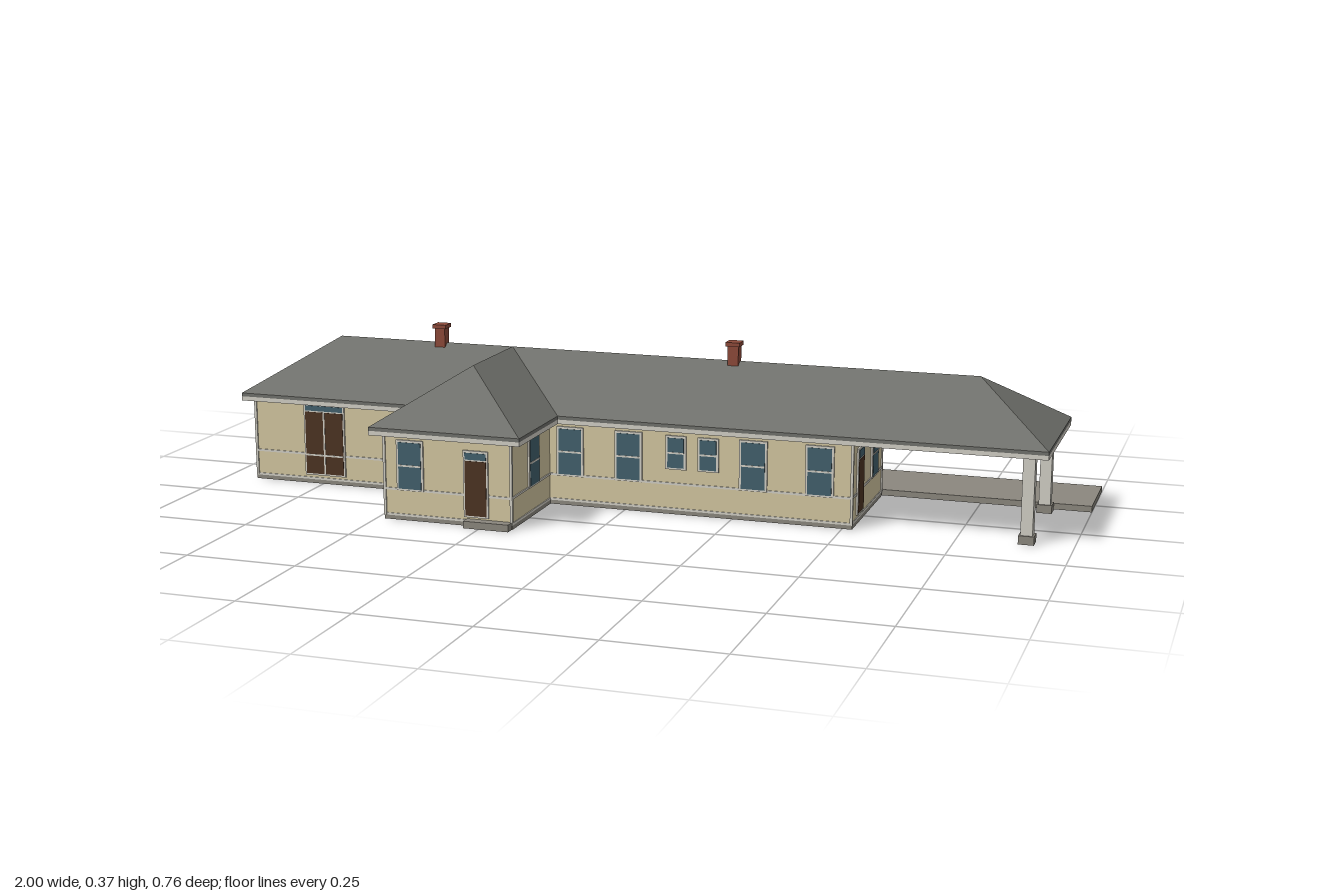
import * as THREE from 'three';

const mat = (name, color) => Object.assign(new THREE.MeshStandardMaterial({ color }), { name });

export function createModel() {
  const root = new THREE.Group();
  root.name = 'station';
  const wall = mat('cream wall', 0xd3c7a0);
  const trim = mat('pale trim', 0xd2cfc6);
  const roof = mat('grey roof', 0x70716c);
  const stone = mat('platform stone', 0x8b877e);
  const glass = mat('window glass', 0x42606c);
  const wood = mat('dark door wood', 0x4c3322);
  const brick = mat('brick', 0x8c4a3a);

  // Box given by its minimum and maximum on each axis
  const block = (name, m, x0, x1, y0, y1, z0, z1, parent = root) => {
    const mesh = new THREE.Mesh(new THREE.BoxGeometry(x1 - x0, y1 - y0, z1 - z0), m);
    mesh.position.set((x0 + x1) / 2, (y0 + y1) / 2, (z0 + z1) / 2);
    mesh.name = name;
    parent.add(mesh);
    return mesh;
  };

  // Platform and door steps
  block('platform', stone, -1, 1, 0, 0.014, -0.38, -0.19);
  block('frontStep', stone, -0.285, -0.18, 0, 0.016, 0.35, 0.376);
  block('backStep', stone, -0.33, -0.225, 0, 0.016, -0.203, -0.18);

  // Walls with foundation, skirting, sill band and corner boards
  const body = (name, x0, x1, z0, z1) => {
    const g = new THREE.Group();
    g.name = name;
    root.add(g);
    const ring = (n, m, y0, y1, e) => block(n, m, x0 - e, x1 + e, y0, y1, z0 - e, z1 + e, g);
    ring('walls', wall, 0.008, 0.195, 0);
    ring('foundation', stone, 0, 0.009, 0.002);
    ring('skirting', trim, 0.009, 0.014, 0.002);
    ring('sillBand', trim, 0.067, 0.072, 0.002);
    for (const x of [x0, x1]) for (const z of [z0, z1]) {
      if (name === 'wing' && z === z0) continue;
      block('cornerBoard', trim, x - 0.003, x + 0.003, 0.009, 0.195, z - 0.003, z + 0.003, g);
    }
  };
  body('mainHall', -0.922, 0.52, -0.183, 0.118);
  body('wing', -0.48, -0.18, 0.1, 0.353);

  // Fascia with soffit, and roof edge
  for (const [n, m, y0, y1] of [['fascia', trim, 0.193, 0.203], ['roofEdge', roof, 0.203, 0.211]]) {
    block('main ' + n, m, -0.943, 0.943, y0, y1, -0.21, 0.145);
    block('wing ' + n, m, -0.505, -0.15, y0, y1, 0.145, 0.38);
  }

  // Hipped roofs built from flat faces
  const faces = (name, list) => {
    const pos = [];
    for (const f of list)
      for (let i = 1; i < f.length - 1; i++) pos.push(...f[0], ...f[i], ...f[i + 1]);
    const geo = new THREE.BufferGeometry();
    geo.setAttribute('position', new THREE.Float32BufferAttribute(pos, 3));
    geo.computeVertexNormals();
    const mesh = new THREE.Mesh(geo, roof);
    mesh.name = name;
    root.add(mesh);
  };
  const E = 0.211, R = 0.327;
  const fl = [-0.943, E, 0.145], fr = [0.943, E, 0.145], br = [0.943, E, -0.21], bl = [-0.943, E, -0.21];
  const rl = [-0.766, R, -0.0325], rr = [0.766, R, -0.0325];
  faces('mainRoof', [[fl, fr, rr, rl], [br, bl, rl, rr], [fr, br, rr], [bl, fl, rl]]);
  const wl = [-0.505, E, 0.38], wr = [-0.15, E, 0.38], vl = [-0.505, E, 0.145], vr = [-0.15, E, 0.145];
  const rf = [-0.3275, R, 0.203], rb = [-0.3275, R, -0.0325];
  faces('wingRoof', [[wl, wr, rf], [vl, wl, rf, rb], [wr, vr, rb, rf]]);

  // Chimneys
  for (const x of [-0.505, 0.21]) {
    block('chimney', brick, x - 0.0125, x + 0.0125, 0.29, 0.363, -0.043, -0.018);
    block('chimneyCap', brick, x - 0.0165, x + 0.0165, 0.362, 0.371, -0.047, -0.014);
  }

  // Canopy posts
  for (const z of [0.105, -0.165]) {
    block('post', trim, 0.886, 0.912, 0.015, 0.195, z - 0.013, z + 0.013);
    block('postBase', stone, 0.882, 0.916, 0, 0.019, z - 0.017, z + 0.017);
  }

  // Windows and doors, laid flat against a wall of the given side
  const sides = {
    front: [0, (u, d) => [u, d]],
    right: [Math.PI / 2, (u, d) => [d, u]],
    back: [Math.PI, (u, d) => [u, d]],
    left: [-Math.PI / 2, (u, d) => [d, u]],
  };
  const opening = (name, side, u, d) => {
    const g = new THREE.Group();
    const [x, z] = sides[side][1](u, d);
    g.position.set(x, 0, z);
    g.rotation.y = sides[side][0];
    g.name = name;
    root.add(g);
    return g;
  };
  const win = (side, u, d, w = 0.054, y0 = 0.072, y1 = 0.177, panes = 1) => {
    const g = opening('window', side, u, d), h = w / 2, m = (y0 + y1) / 2;
    block('frame', trim, -h - 0.005, h + 0.005, y0 - 0.004, y1 + 0.005, 0, 0.004, g);
    block('glass', glass, -h, h, y0, y1, 0, 0.005, g);
    block('rail', trim, -h, h, m - 0.002, m + 0.002, 0, 0.006, g);
    for (let i = 1; i < panes; i++) {
      const c = -h + (w * i) / panes;
      block('mullion', trim, c - 0.0015, c + 0.0015, y0, y1, 0, 0.006, g);
    }
  };
  const door = (side, u, d, w, top, sill, double) => {
    const g = opening('door', side, u, d), h = w / 2;
    block('frame', trim, -h - 0.004, h + 0.004, 0.02, top + 0.005, 0, 0.004, g);
    block('leaf', wood, -h, h, 0.024, sill, 0, 0.005, g);
    block('transom', glass, -h, h, sill + 0.003, top, 0, 0.005, g);
    if (double) {
      block('meetingStile', trim, -0.002, 0.002, 0.024, sill, 0, 0.006, g);
      block('doorRail', trim, -h, h, 0.067, 0.071, 0, 0.006, g);
    }
  };

  const F = 0.118, B = -0.183, W = 0.353;
  // Front of hall and wing
  for (const x of [-0.13, 0.009, 0.298, 0.448]) win('front', x, F);
  for (const x of [0.12, 0.195]) win('front', x, F, 0.038, 0.107, 0.175);
  win('front', -0.55, F, 0.038, 0.137, 0.167);
  door('front', -0.743, F, 0.096, 0.187, 0.172, true);
  win('front', -0.418, W);
  door('front', -0.262, W, 0.05, 0.165, 0.147);
  // Sides of the wing and ends of the hall
  win('right', 0.223, -0.18);
  win('left', 0.223, -0.48);
  win('right', -0.1, 0.52);
  door('right', 0.045, 0.52, 0.051, 0.165, 0.144);
  win('left', -0.026, -0.922, 0.12, 0.137, 0.167, 3);
  // Platform side
  for (const x of [0.43, 0.278, 0.125, -0.025, -0.148, -0.434]) win('back', x, B);
  door('back', -0.277, B, 0.051, 0.165, 0.144);
  win('back', -0.577, B, 0.11, 0.137, 0.167, 3);
  door('back', -0.748, B, 0.096, 0.187, 0.172, true);

  return root;
}
